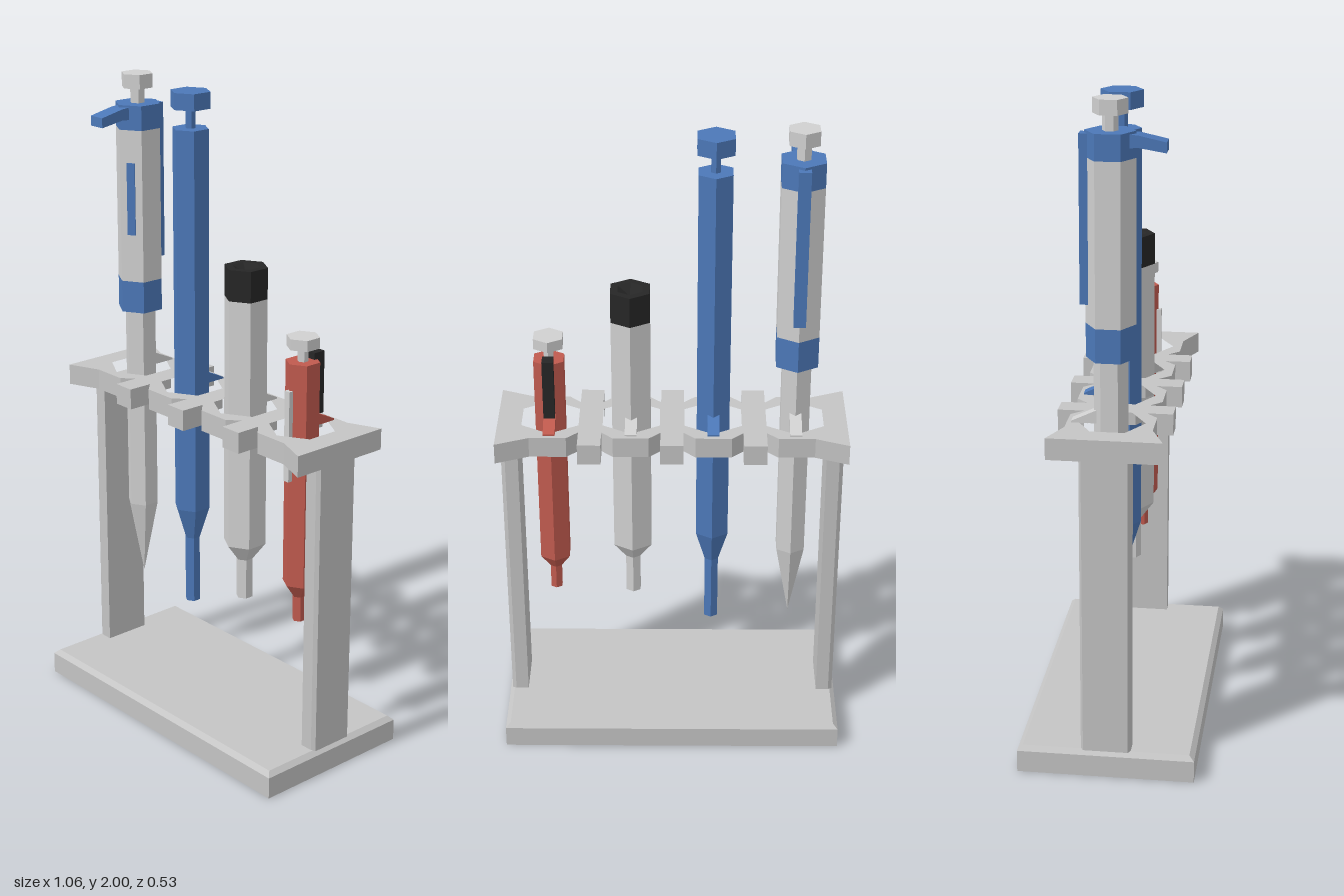
import * as THREE from 'three';

const mat = (name, color) => {
  const m = new THREE.MeshStandardMaterial({ color, flatShading: true });
  m.name = name;
  return m;
};

export function createModel() {
  const stand = mat('stand grey', 0xc4c4c4);
  const light = mat('light grey', 0xd0d0d0);
  const blue = mat('blue', 0x4c78b8);
  const red = mat('red', 0xc05a4e);
  const black = mat('black', 0x262626);

  const model = new THREE.Group();
  model.name = 'pipetteStand';

  const add = (parent, name, geo, material, x = 0, y = 0, z = 0) => {
    const mesh = new THREE.Mesh(geo, material);
    mesh.name = name;
    mesh.position.set(x, y, z);
    parent.add(mesh);
    return mesh;
  };
  const box = (w, h, d) => new THREE.BoxGeometry(w, h, d);
  // Six-sided turned body from [radius, height] pairs, bottom to top
  const hex = (pts) => new THREE.LatheGeometry(pts.map(([r, y]) => new THREE.Vector2(r, y)), 6);
  const rod = (r, y0, y1) => hex([[0, y0], [r, y0], [r, y1], [0, y1]]);
  const shapeOf = (pts) => new THREE.Shape(pts.map(([a, b]) => new THREE.Vector2(a, b)));
  // Side profile of [z, y] points, extruded across x
  const profile = (pts, width) => new THREE.ExtrudeGeometry(shapeOf(pts), { depth: width, bevelEnabled: false })
    .translate(0, 0, -width / 2).rotateY(-Math.PI / 2);
  // Flat outline of [x, z] points, extruded upwards from y0 to y1
  const slab = (shape, y0, y1) => new THREE.ExtrudeGeometry(shape, { depth: y1 - y0, bevelEnabled: false })
    .rotateX(Math.PI / 2).translate(0, y1, 0);

  // Base with a bevelled top edge
  add(model, 'base', box(1.06, 0.068, 0.53), stand, 0, 0.034);
  const bevel = box(1.06, 0.014, 0.53);
  const p = bevel.attributes.position;
  for (let i = 0; i < p.count; i++) {
    if (p.getY(i) > 0) p.setXYZ(i, Math.sign(p.getX(i)) * 0.515, p.getY(i), Math.sign(p.getZ(i)) * 0.25);
  }
  add(model, 'baseBevel', bevel, stand, 0, 0.075);

  // Posts with chamfered outer corners
  for (const s of [-1, 1]) {
    const pts = [[0.47, -0.075], [0.51, -0.075], [0.522, -0.067], [0.522, 0.067], [0.51, 0.075], [0.47, 0.075]];
    add(model, s > 0 ? 'leftPost' : 'rightPost', slab(shapeOf(pts.map(([x, z]) => [s * x, z])), 0.08, 1.0), stand);
  }

  // Rack plate: one edge, mirrored, with four hexagonal holes
  const slots = [-0.372, -0.124, 0.124, 0.37];
  const edge = [[-0.53, 0.167], [-0.43, 0.127]];
  for (const t of [-0.25, 0, 0.248]) {
    edge.push([t - 0.07, 0.127], [t - 0.035, 0.093], [t - 0.035, 0.17],
      [t + 0.035, 0.17], [t + 0.035, 0.093], [t + 0.07, 0.127]);
  }
  edge.push([0.43, 0.127], [0.53, 0.167]);
  const outline = shapeOf([...edge, ...edge.map(([x, z]) => [x, -z]).reverse()]);
  for (const x of slots) {
    const hole = [];
    for (let k = 0; k < 6; k++) {
      const a = Math.PI / 2 - k * Math.PI / 3;
      hole.push(new THREE.Vector2(x + 0.1 * Math.cos(a), 0.1 * Math.sin(a)));
    }
    outline.holes.push(new THREE.Path(hole));
  }
  add(model, 'rackPlate', slab(outline, 1.0, 1.065), stand);

  // Each pipette carries a wedge that rests on the plate behind its hole
  const pipette = (name, i, wedgeMaterial) => {
    const g = new THREE.Group();
    g.name = name;
    g.position.x = slots[i];
    model.add(g);
    add(g, 'restWedge', profile([[-0.03, 1.065], [-0.03, 1.108], [-0.05, 1.1], [-0.114, 1.07], [-0.114, 1.065]], 0.036), wedgeMaterial);
    return g;
  };

  // Tall pipette with finger hook
  const a = pipette('hookPipette', 0, light);
  add(a, 'tip', hex([[0, 0.35], [0.05, 0.6], [0.05, 1.26], [0, 1.26]]), light);
  add(a, 'lowerCollar', rod(0.072, 1.26, 1.36), blue);
  add(a, 'grip', rod(0.072, 1.36, 1.835), light);
  add(a, 'upperCollar', rod(0.072, 1.835, 1.91), blue);
  add(a, 'plungerStem', rod(0.023, 1.91, 1.957), light);
  add(a, 'plungerCap', rod(0.05, 1.957, 2.0), light);
  add(a, 'fingerHook', profile([[0.04, 1.865], [0.08, 1.868], [0.158, 1.855], [0.158, 1.885], [0.08, 1.902], [0.04, 1.905]], 0.055), blue);
  add(a, 'ejectorStrip', box(0.036, 0.485, 0.04), blue, 0, 1.66, -0.066);
  const pane = add(a, 'window', box(0.026, 0.225, 0.008), blue, 0.031, 1.622, 0.054);
  pane.rotation.y = Math.PI / 6;

  // Blue pipette
  const b = pipette('bluePipette', 1, blue);
  add(b, 'body', hex([[0, 0.335], [0.024, 0.335], [0.024, 0.555], [0.057, 0.66], [0.057, 1.87], [0, 1.87]]), blue);
  add(b, 'plungerStem', rod(0.016, 1.87, 1.93), blue);
  add(b, 'plungerCap', rod(0.062, 1.93, 1.98), blue);

  // Capped pipette with a dished black top
  const c = pipette('cappedPipette', 2, light);
  add(c, 'body', hex([[0, 0.435], [0.026, 0.435], [0.026, 0.565], [0.067, 0.62], [0.067, 1.405], [0, 1.405]]), light);
  add(c, 'cap', hex([[0, 1.405], [0.067, 1.405], [0.067, 1.5], [0.042, 1.5], [0, 1.475]]), black);

  // Short red pipette
  const d = pipette('redPipette', 3, red);
  add(d, 'body', hex([[0, 0.445], [0.02, 0.445], [0.02, 0.525], [0.052, 0.57], [0.052, 1.27], [0, 1.27]]), red);
  add(d, 'plungerStem', rod(0.016, 1.27, 1.312), light);
  add(d, 'plungerCap', rod(0.05, 1.312, 1.345), light);
  add(d, 'scaleStrip', box(0.02, 0.28, 0.03), light, 0, 1.05, 0.046);
  add(d, 'backClip', box(0.034, 0.19, 0.04), black, 0, 1.195, -0.05);

  return model;
}
